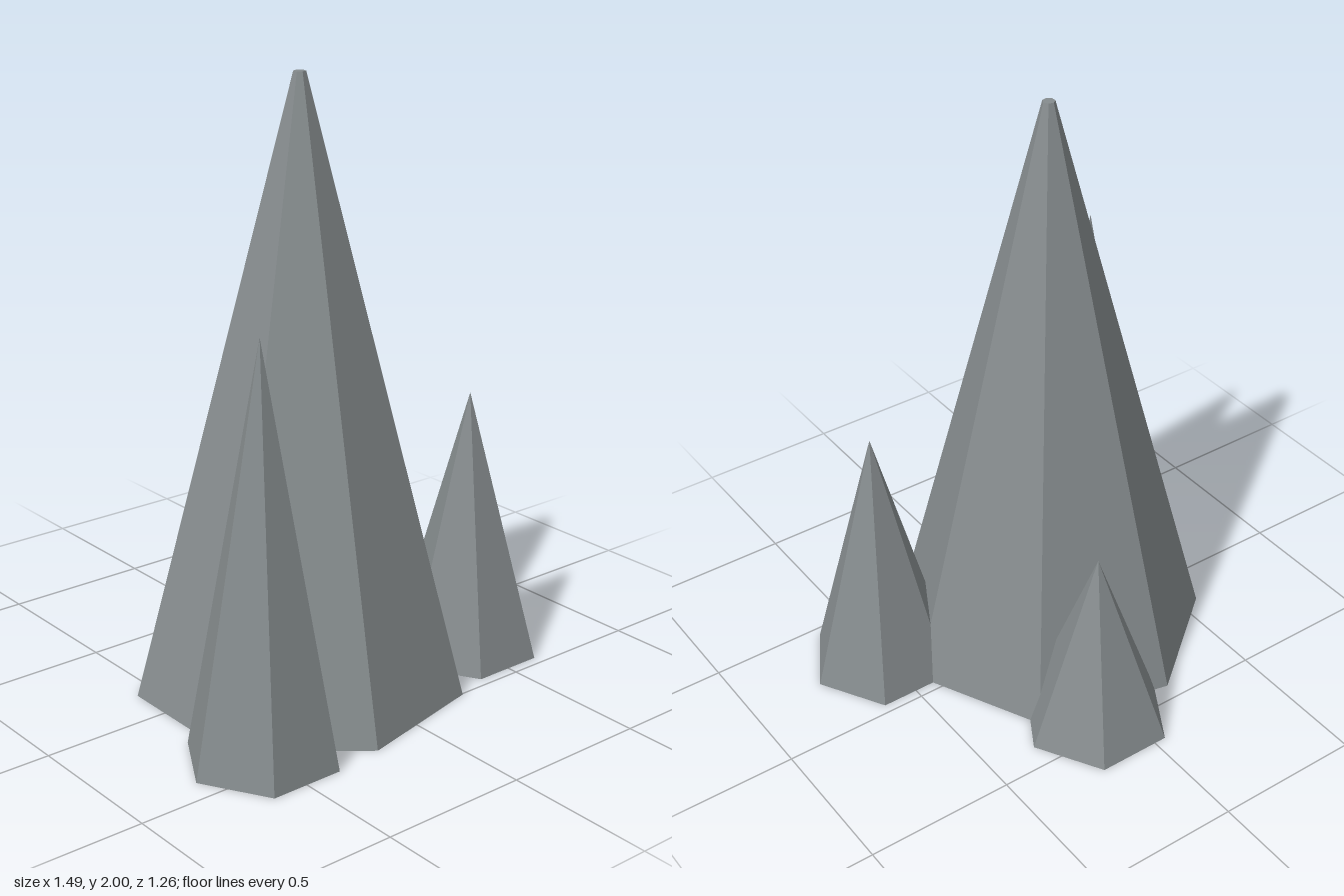
import * as THREE from 'three';

export function createModel() {
  const group = new THREE.Group();
  group.name = 'rockSpires';

  const stone = new THREE.MeshStandardMaterial({ color: 0x868c8e, flatShading: true });
  stone.name = 'grey stone';

  // A faceted spire standing on the ground, with one corner pointing along +x
  function addSpire(name, x, z, topRadius, radius, height, sides) {
    const geometry = topRadius > 0
      ? new THREE.CylinderGeometry(topRadius, radius, height, sides)
      : new THREE.ConeGeometry(radius, height, sides);
    geometry.rotateY(Math.PI / 2);
    geometry.translate(0, height / 2, 0);
    const mesh = new THREE.Mesh(geometry, stone);
    mesh.name = name;
    mesh.position.set(x, 0, z);
    group.add(mesh);
  }

  // Tall central spire with a small blunt tip
  addSpire('mainSpire', -0.083, 0.083, 0.02, 0.539, 2, 7);

  // Three pointed side spires
  addSpire('tallSideSpire', -0.498, 0.415, 0, 0.249, 1.33, 6);
  addSpire('middleSideSpire', 0.498, 0.249, 0, 0.249, 0.913, 6);
  addSpire('shortBackSpire', 0.083, -0.415, 0, 0.249, 0.664, 6);

  return group;
}
